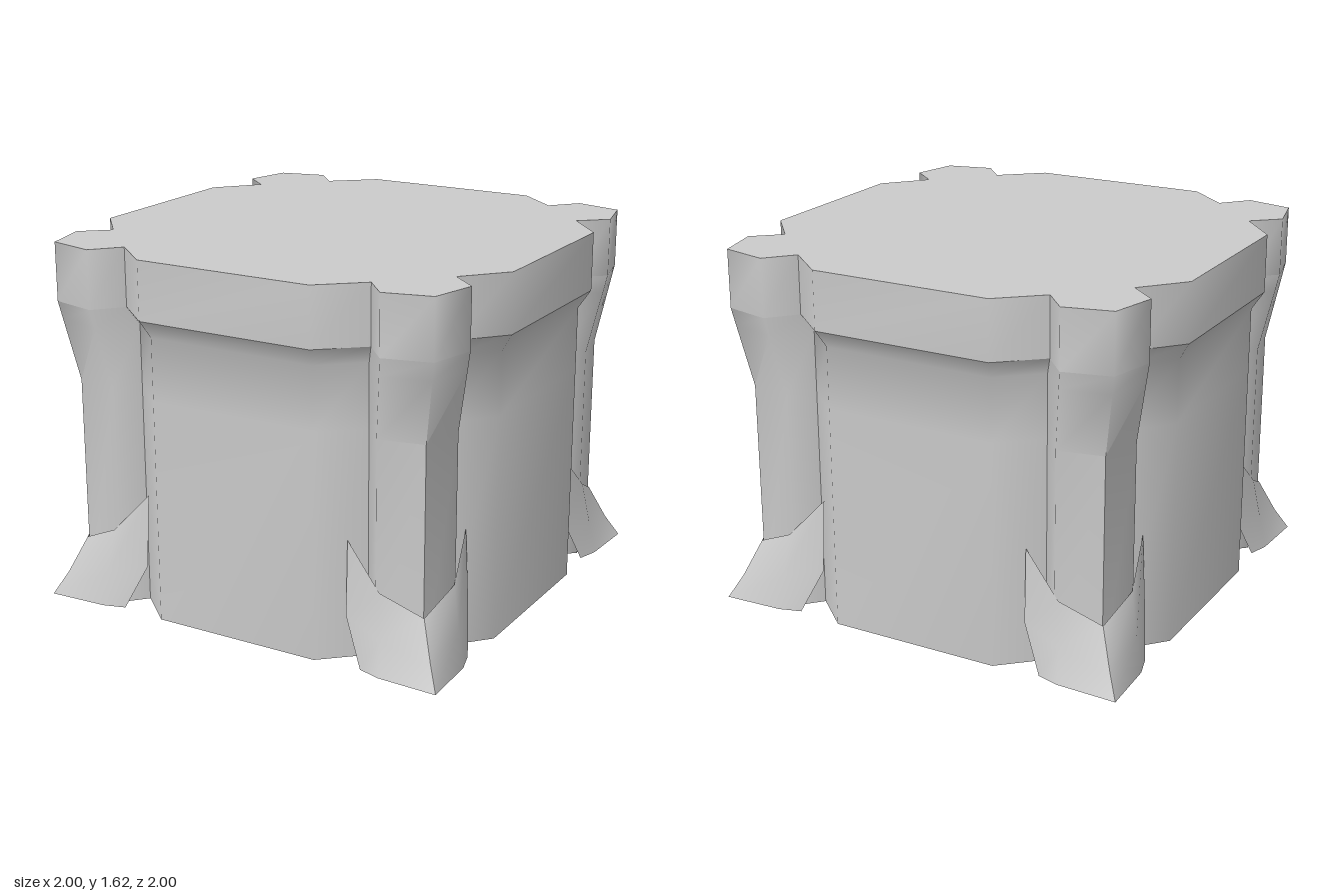
import * as THREE from 'three';
import { toCreasedNormals } from 'three/addons/utils/BufferGeometryUtils.js';

// One quarter of the plan outline [x, z]: wall end, notch, corner post, notch, wall end
const TOP = [[0.41, 1], [0.595, 0.84], [0.7, 0.96], [0.91, 0.91], [0.96, 0.7], [0.84, 0.595], [1, 0.41]];
const LOW = [[0.39, 0.95], [0.562, 0.795], [0.65, 0.89], [0.85, 0.85], [0.89, 0.65], [0.795, 0.562], [0.95, 0.39]];
// Post flare ends lower down, so its points lag behind the wall at the lip
const LIP = LOW.map((p, i) => (i > 1 && i < 5 ? p.map((v, k) => TOP[i][k] + (v - TOP[i][k]) * 0.22) : p));

// Repeat a quarter outline around the y axis
function outline(quarter) {
  const pts = [];
  let q = quarter;
  for (let n = 0; n < 4; n++) {
    pts.push(...q);
    q = q.map(([x, z]) => [z, -x]);
  }
  return pts;
}

// Indexed surface through rows of [x, y, z] points, rows running from top to bottom
function surface(rows, closed) {
  const n = rows[0].length, index = [];
  for (let r = 0; r < rows.length - 1; r++) {
    for (let i = 0; i < (closed ? n : n - 1); i++) {
      const j = (i + 1) % n;
      const a = r * n + i, b = r * n + j, c = a + n, d = b + n;
      index.push(c, d, b, c, b, a);
    }
  }
  const geo = new THREE.BufferGeometry();
  geo.setAttribute('position', new THREE.Float32BufferAttribute(rows.flat(2), 3));
  geo.setIndex(index);
  geo.computeVertexNormals();
  return geo;
}

const level = (quarter, y) => outline(quarter).map(([x, z]) => [x, y, z]);

export function createModel() {
  const group = new THREE.Group();
  const material = new THREE.MeshStandardMaterial({ color: 0xcccccc, side: THREE.DoubleSide });
  const add = (name, geo, parent = group) => {
    const mesh = new THREE.Mesh(geo, material);
    mesh.name = name;
    parent.add(mesh);
    return mesh;
  };

  // Flat top
  const shape = new THREE.Shape(outline(TOP).map(([x, z]) => new THREE.Vector2(x, -z)));
  const top = new THREE.ShapeGeometry(shape);
  top.rotateX(-Math.PI / 2);
  top.translate(0, 1.62, 0);
  add('topPlate', top);

  // Rim band and the open-bottomed walls with their corner posts
  const crease = THREE.MathUtils.degToRad(65);
  add('rim', toCreasedNormals(surface([level(TOP, 1.62), level(TOP, 1.36)], true), crease));
  const walls = [level(TOP, 1.36), level(LIP, 1.28), level(LOW, 1), level(LOW, 0)];
  add('wallsAndPosts', toCreasedNormals(surface(walls, true), crease));

  // Pointed foot: two thin wings meeting at the corner ridge
  const wing = [
    [[0.5, 0.53, 0.86], [0.67, 0.345, 0.895], [0.855, 0.26, 0.855]],
    [[0.505, 0.2, 0.88], [0.69, 0.15, 0.93], [0.92, 0.1, 0.92]],
    [[0.6, 0, 0.93], [0.7, 0, 0.96], [0.972, 0, 0.972]],
  ];
  const mirrored = wing.map((row) => row.map(([x, y, z]) => [z, y, x]).reverse());
  const wings = [surface(wing, false), surface(mirrored, false)];
  for (let i = 0; i < 4; i++) {
    const foot = new THREE.Group();
    foot.name = 'foot';
    foot.rotation.y = (i * Math.PI) / 2;
    wings.forEach((geo) => add('footWing', geo, foot));
    group.add(foot);
  }
  return group;
}
